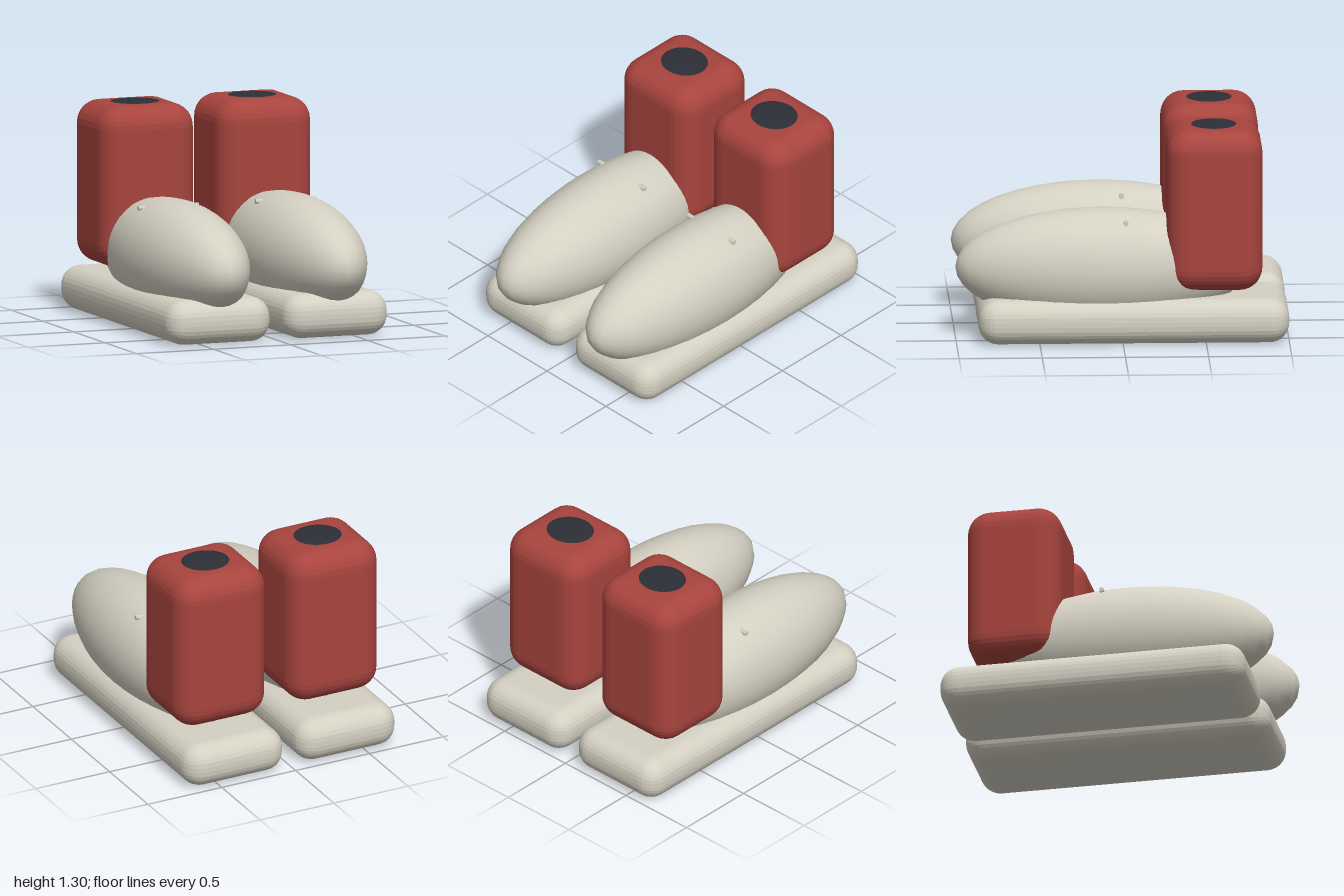
import * as THREE from 'three';
import { RoundedBoxGeometry } from 'three/addons/geometries/RoundedBoxGeometry.js';

export function createModel() {
  const canvas = new THREE.MeshStandardMaterial({ color: 0xd4d0c2, flatShading: false });
  canvas.name = 'pale canvas';
  const rubber = new THREE.MeshStandardMaterial({ color: 0xd4d0c2, flatShading: true });
  rubber.name = 'pale rubber';
  const red = new THREE.MeshStandardMaterial({ color: 0xa8443e, flatShading: true });
  red.name = 'red leather';
  const dark = new THREE.MeshStandardMaterial({ color: 0x2c2f36 });
  dark.name = 'dark opening';

  function part(parent, name, geometry, material, x, y, z) {
    const mesh = new THREE.Mesh(geometry, material);
    mesh.name = name;
    mesh.position.set(x, y, z);
    parent.add(mesh);
    return mesh;
  }

  // Rounded slab under the foot
  const soleGeo = new RoundedBoxGeometry(0.67, 0.27, 1.87, 4, 0.12);
  // Long egg-shaped foot
  const footGeo = new THREE.SphereGeometry(1, 32, 20);
  footGeo.scale(0.315, 0.355, 0.88);
  // Upright ankle block
  const shaftGeo = new RoundedBoxGeometry(0.61, 0.985, 0.575, 4, 0.14);
  // Shallow oval cap marking the leg opening
  const openingGeo = new THREE.SphereGeometry(1, 32, 8, 0, Math.PI * 2, 0, Math.PI / 2);
  openingGeo.scale(0.15, 0.009, 0.138);
  // Bar whose two ends poke out of the foot
  const barGeo = new THREE.CylinderGeometry(0.015, 0.015, 0.39, 10);
  barGeo.rotateZ(Math.PI / 2);

  const model = new THREE.Group();
  model.name = 'pairOfBoots';
  for (const side of [1, -1]) {
    const boot = new THREE.Group();
    boot.name = side > 0 ? 'leftBoot' : 'rightBoot';
    boot.position.x = side * 0.38;
    part(boot, 'sole', soleGeo, rubber, 0, 0.135, -0.065);
    part(boot, 'foot', footGeo, canvas, 0, 0.43, 0.12);
    part(boot, 'shaft', shaftGeo, red, 0, 0.805, -0.553);
    part(boot, 'legOpening', openingGeo, dark, 0, 1.296, -0.553);
    part(boot, 'laceBar', barGeo, canvas, 0, 0.725, -0.02);
    model.add(boot);
  }
  return model;
}
